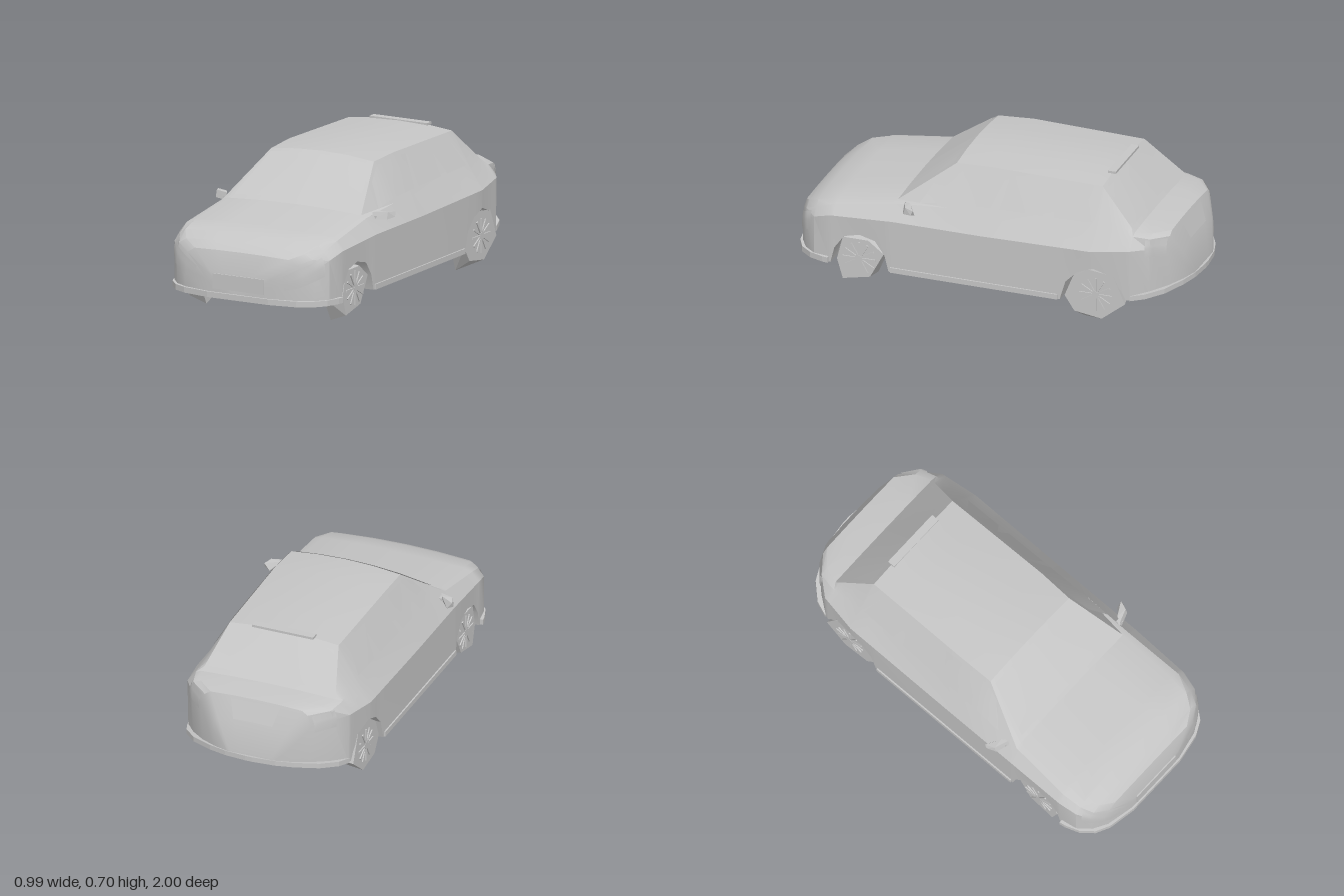
import * as THREE from 'three';
import { toCreasedNormals } from 'three/addons/utils/BufferGeometryUtils.js';
import { ConvexGeometry } from 'three/addons/geometries/ConvexGeometry.js';

// Body stations: z, floor y, sill x, widest x, its y, belt x, y, roof edge x, y, centre y
const stations = [
  [0.99, 0.12, 0.17, 0.17, 0.20, 0.17, 0.24, 0.16, 0.25, 0.25],
  [0.96, 0.12, 0.31, 0.32, 0.25, 0.30, 0.32, 0.26, 0.345, 0.35],
  [0.92, 0.12, 0.38, 0.385, 0.30, 0.37, 0.35, 0.33, 0.375, 0.39],
  [0.86, 0.12, 0.43, 0.43, 0.34, 0.40, 0.38, 0.37, 0.405, 0.42],
  [0.77, 0.12, 0.445, 0.45, 0.37, 0.415, 0.415, 0.37, 0.43, 0.44],
  [0.45, 0.12, 0.45, 0.455, 0.39, 0.40, 0.465, 0.37, 0.475, 0.488],
  [0.18, 0.12, 0.45, 0.455, 0.39, 0.40, 0.485, 0.285, 0.675, 0.695],
  [0, 0.12, 0.45, 0.455, 0.39, 0.395, 0.49, 0.29, 0.685, 0.706],
  [-0.57, 0.12, 0.45, 0.455, 0.40, 0.385, 0.50, 0.285, 0.675, 0.695],
  [-0.76, 0.16, 0.42, 0.425, 0.42, 0.38, 0.48, 0.35, 0.49, 0.50],
  [-0.84, 0.17, 0.36, 0.37, 0.42, 0.36, 0.47, 0.32, 0.485, 0.495],
  [-0.91, 0.185, 0.28, 0.29, 0.40, 0.27, 0.46, 0.24, 0.48, 0.488],
  [-0.955, 0.195, 0.20, 0.21, 0.30, 0.20, 0.35, 0.18, 0.365, 0.37],
  [-0.985, 0.20, 0.12, 0.12, 0.21, 0.12, 0.22, 0.11, 0.225, 0.225],
];
// Wheel arch outlines: z, y
const arches = [
  [0.77, 0.12], [0.75, 0.20], [0.70, 0.27], [0.62, 0.29], [0.54, 0.27], [0.49, 0.20], [0.47, 0.12],
  [-0.41, 0.12], [-0.44, 0.22], [-0.50, 0.28], [-0.58, 0.31], [-0.66, 0.28], [-0.72, 0.20], [-0.74, 0.15],
];

// Interpolates a table whose first column falls
function lookup(table, z) {
  if (z >= table[0][0]) return table[0];
  for (let i = 1; i < table.length; i++) {
    if (z >= table[i][0]) {
      const t = (table[i - 1][0] - z) / (table[i - 1][0] - table[i][0]);
      return table[i].map((v, k) => THREE.MathUtils.lerp(table[i - 1][k], v, t));
    }
  }
  return table[table.length - 1];
}

// Half cross-section from floor centre, round the sill and up to the roof centre
function section(z) {
  const [, bot, xLow, xMax, yMax, xBelt, yBelt, xRoof, yRoof, yTop] = lookup(stations, z);
  const arch = Math.max(bot, z > 0.77 || z < -0.74 ? 0 : lookup(arches, z)[1]);
  const xIn = Math.min(0.32, xLow * 0.9);
  return [
    [0, bot], [xIn, bot], [xIn, arch], [xLow, arch], [xMax, yMax], [xBelt, yBelt],
    [xRoof, yRoof], [xRoof * 0.5, yTop - (yTop - yRoof) * 0.25], [0, yTop],
  ];
}

function geometryFrom(points, index) {
  const g = new THREE.BufferGeometry();
  g.setAttribute('position', new THREE.Float32BufferAttribute(points, 3));
  g.setIndex(index);
  return toCreasedNormals(g, 0.45);
}

function bodyGeometry() {
  const zs = [...new Set([...stations, ...arches].map((r) => r[0]))].sort((a, b) => b - a);
  const points = [], index = [], n = 16;
  for (const z of zs) {
    const half = section(z);
    const mirrored = half.slice(1, 8).reverse().map(([x, y]) => [-x, y]);
    for (const [x, y] of [...half, ...mirrored]) points.push(x, y, z);
  }
  for (let i = 0; i < zs.length - 1; i++) {
    for (let j = 0; j < n; j++) {
      const a = i * n + j, b = i * n + (j + 1) % n;
      index.push(a, a + n, b, a + n, b + n, b);
    }
  }
  const last = (zs.length - 1) * n;
  for (let j = 1; j < n - 1; j++) index.push(0, j, j + 1, last, last + j + 1, last + j);
  return geometryFrom(points, index);
}

// Thin panel following the body between two z values and two section positions
function panelGeometry(z0, z1, s0, s1, side, slant = 0) {
  const at = (z, s) => {
    const p = section(z), k = Math.min(Math.floor(s), 7), t = s - k;
    return new THREE.Vector3(
      THREE.MathUtils.lerp(p[k][0], p[k + 1][0], t), THREE.MathUtils.lerp(p[k][1], p[k + 1][1], t), z);
  };
  const points = [], index = [], nu = 8, nv = 4;
  for (let i = 0; i <= nu; i++) {
    for (let j = 0; j <= nv; j++) {
      const s = THREE.MathUtils.lerp(s0, s1, j / nv);
      const z = THREE.MathUtils.lerp(z0, z1, i / nu) + slant * (j / nv - 0.5);
      const p = at(z, s);
      const along = at(z - 0.004, s).sub(at(z + 0.004, s));
      const up = at(z, Math.min(s + 0.01, 8)).sub(at(z, s - 0.01));
      p.addScaledVector(along.cross(up).normalize(), 0.005);
      points.push(side * Math.max(p.x, 0), p.y, p.z);
    }
  }
  for (let i = 0; i < nu; i++) {
    for (let j = 0; j < nv; j++) {
      const a = i * (nv + 1) + j, b = a + 1, d = a + nv + 1, c = d + 1;
      index.push(...(side > 0 ? [a, d, b, d, c, b] : [a, b, d, d, b, c]));
    }
  }
  return geometryFrom(points, index);
}

// Flat slab from half of a plan outline
function lipGeometry(half, height) {
  const outline = [...half, ...half.slice().reverse().map(([x, z]) => [-x, z])];
  const shape = new THREE.Shape(outline.map(([x, z]) => new THREE.Vector2(x, -z)));
  return new THREE.ExtrudeGeometry(shape, { depth: height, bevelEnabled: false }).rotateX(-Math.PI / 2);
}

export function createModel() {
  const car = new THREE.Group();
  car.name = 'car';
  const grey = new THREE.MeshStandardMaterial({ color: 0xc6c6c6, side: THREE.DoubleSide });
  grey.name = 'light grey';
  const add = (name, geometry, parent = car) => {
    const mesh = new THREE.Mesh(geometry, grey);
    mesh.name = name;
    parent.add(mesh);
    return mesh;
  };

  add('body', bodyGeometry());

  // Bumper lips
  add('frontBumperLip', lipGeometry(
    [[0.46, 0.78], [0.455, 0.81], [0.43, 0.88], [0.38, 0.94], [0.31, 0.975], [0.17, 1]], 0.028)).position.y = 0.12;
  const rear = lipGeometry(
    [[0.425, -0.76], [0.40, -0.83], [0.33, -0.905], [0.22, -0.96], [0.13, -0.988], [0.02, -1]], 0.025);
  const pos = rear.attributes.position;
  for (let i = 0; i < pos.count; i++) pos.setY(i, pos.getY(i) + 0.195 - 0.16 * (pos.getZ(i) + 1));
  rear.computeVertexNormals();
  add('rearBumperLip', rear);

  // Number plate and rear roof strip
  add('frontPlate', new THREE.BoxGeometry(0.28, 0.075, 0.012)).position.set(0, 0.203, 0.99);
  add('roofStrip', new THREE.BoxGeometry(0.32, 0.012, 0.04)).position.set(0, 0.694, -0.57);

  // Panels: name, z range, section range, slant
  const panels = [
    ['windshield', 0.43, 0.2, 6.12, 8, 0],
    ['rearWindow', -0.59, -0.74, 6.12, 8, 0],
    ['frontSideWindow', 0.30, -0.06, 5.1, 5.9, -0.06],
    ['rearSideWindow', -0.09, -0.31, 5.1, 5.9, -0.03],
    ['quarterWindow', -0.33, -0.52, 5.1, 5.9, 0.06],
    ['headlight', 0.975, 0.88, 3.7, 4.7, 0],
    ['taillight', -0.82, -0.90, 3.85, 4.9, 0],
    ['tailgatePanel', -0.915, -0.95, 6.9, 8, 0],
  ];

  // Tyre outlines (z, y): outer then inner face
  const wheels = [
    ['front', 0.625, 0.16,
      [[0.74, 0.14], [0.71, 0.04], [0.57, 0.07], [0.50, 0.20], [0.58, 0.26], [0.71, 0.26]],
      [[0.77, 0.13], [0.70, 0.005], [0.56, 0.06], [0.50, 0.20], [0.57, 0.27], [0.72, 0.25]]],
    ['rear', -0.59, 0.17,
      [[-0.43, 0.14], [-0.48, 0.065], [-0.62, 0.045], [-0.74, 0.14], [-0.68, 0.28], [-0.55, 0.295], [-0.47, 0.24]],
      [[-0.45, 0.14], [-0.50, 0.005], [-0.61, 0.05], [-0.72, 0.14], [-0.66, 0.26], [-0.52, 0.27]]],
  ];

  for (const side of [1, -1]) {
    const tag = side > 0 ? 'Left' : 'Right';
    for (const [name, z0, z1, s0, s1, slant] of panels) {
      add(name + tag, panelGeometry(z0, z1, s0, s1, side, slant));
    }
    add('sill' + tag, new THREE.BoxGeometry(0.018, 0.026, 0.86)).position.set(side * 0.449, 0.133, 0.03);

    // Door mirror: wedge-shaped housing and its stalk
    const corners = [[0.405, 0.45, 0.41], [0.405, 0.485, 0.40], [0.42, 0.448, 0.385], [0.42, 0.487, 0.37],
      [0.475, 0.452, 0.385], [0.475, 0.488, 0.375], [0.495, 0.46, 0.34], [0.492, 0.483, 0.33], [0.465, 0.448, 0.33]];
    add('mirror' + tag, new ConvexGeometry(corners.map(([x, y, z]) => new THREE.Vector3(side * x, y, z))));
    add('mirrorStalk' + tag, new THREE.BoxGeometry(0.04, 0.014, 0.025)).position.set(side * 0.405, 0.46, 0.39);

    // Wheels with radial spokes
    for (const [name, z, y, outer, inner] of wheels) {
      const wheel = new THREE.Group();
      wheel.name = name + 'Wheel' + tag;
      car.add(wheel);
      const hull = [...outer.map(([a, b]) => new THREE.Vector3(side * 0.435, b, a)),
        ...inner.map(([a, b]) => new THREE.Vector3(side * 0.345, b, a))];
      add('tyre', new ConvexGeometry(hull), wheel);
      add('hub', new THREE.CylinderGeometry(0.018, 0.018, 0.012, 8).rotateZ(Math.PI / 2), wheel)
        .position.set(side * 0.436, y, z);
      for (let i = 0; i < 12; i++) {
        const spoke = new THREE.BoxGeometry(0.01, 0.07, 0.009).translate(0, 0.05, 0).rotateX(i * Math.PI / 6);
        add('spoke', spoke, wheel).position.set(side * 0.436, y, z);
      }
    }
  }
  return car;
}
